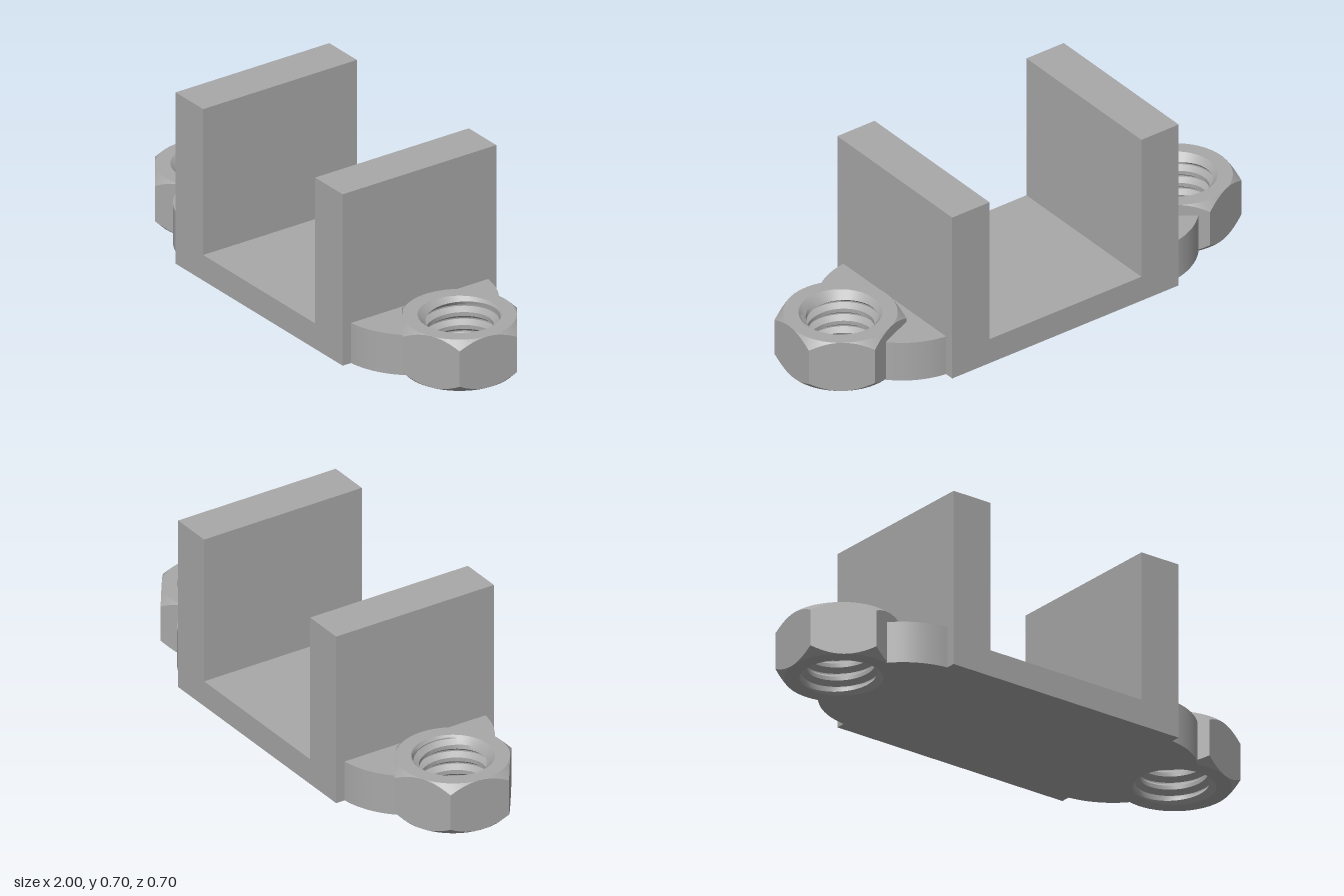
import * as THREE from 'three';
import { toCreasedNormals } from 'three/addons/utils/BufferGeometryUtils.js';

const NUT_X = 0.777, NUT_H = 0.211, APOTHEM = 0.2113, TWIST = -0.422;
const HOLE_R = 0.126, MAJOR_R = 0.147, MOUTH_R = 0.155, PITCH = 0.053;

// Skins a list of rings, each a function of the angle giving [radius, y].
function skinRings(rings, segments) {
  const positions = [];
  const point = (ring, j) => {
    const a = (j / segments) * Math.PI * 2;
    const [r, y] = ring(a);
    return [r * Math.cos(a + TWIST), y, r * Math.sin(a + TWIST)];
  };
  for (let i = 0; i < rings.length - 1; i++) {
    for (let j = 0; j < segments; j++) {
      const a = point(rings[i], j), b = point(rings[i + 1], j);
      const c = point(rings[i], j + 1), d = point(rings[i + 1], j + 1);
      positions.push(...a, ...c, ...b, ...b, ...c, ...d);
    }
  }
  const geometry = new THREE.BufferGeometry();
  geometry.setAttribute('position', new THREE.Float32BufferAttribute(positions, 3));
  return toCreasedNormals(geometry, 0.45);
}

// Hexagon with conical chamfers on both faces, open in the middle.
function nutBody() {
  const hex = (a) => APOTHEM / Math.cos((a % (Math.PI / 3)) - Math.PI / 6);
  return skinRings([
    () => [MOUTH_R, NUT_H],
    () => [APOTHEM, NUT_H],
    (a) => [hex(a), NUT_H - (hex(a) - APOTHEM)],
    (a) => [hex(a), hex(a) - APOTHEM],
    () => [APOTHEM, 0],
    () => [MOUTH_R, 0],
  ], 72);
}

// Helical thread whose ends open into countersunk mouths.
function nutThread() {
  const profile = [[0, HOLE_R], [0.3, HOLE_R], [0.6, MAJOR_R], [0.7, MAJOR_R]];
  const rings = [];
  for (let turn = -2; turn <= 5; turn++) {
    for (const [phase, radius] of profile) {
      rings.push((a) => {
        const y = THREE.MathUtils.clamp((turn + phase + a / (Math.PI * 2)) * PITCH, 0, NUT_H);
        return [Math.max(radius, MOUTH_R - Math.min(y, NUT_H - y)), y];
      });
    }
  }
  return skinRings(rings, 72);
}

// Rounded ear, hollowed where the nut sits.
function earGeometry() {
  const shape = new THREE.Shape();
  shape.absarc(0.49, 0, 0.314, -1.475, -0.708, false);
  shape.absarc(NUT_X, 0, 0.21, 4.479, 1.804, true);
  shape.absarc(0.49, 0, 0.314, 0.708, 1.475, false);
  shape.closePath();
  const geometry = new THREE.ExtrudeGeometry(shape, { depth: 0.165, bevelEnabled: false, curveSegments: 24 });
  geometry.rotateX(-Math.PI / 2);
  return toCreasedNormals(geometry, 0.5);
}

// U-shaped bracket as one solid.
function bracketGeometry() {
  const outline = [[-0.525, 0], [0.525, 0], [0.525, 0.705], [0.352, 0.705],
    [0.352, 0.105], [-0.352, 0.105], [-0.352, 0.705], [-0.525, 0.705]];
  const shape = new THREE.Shape(outline.map(([x, y]) => new THREE.Vector2(x, y)));
  const geometry = new THREE.ExtrudeGeometry(shape, { depth: 0.7, bevelEnabled: false });
  return geometry.translate(0, 0, -0.35);
}

export function createModel() {
  const model = new THREE.Group();
  model.name = 'clampBracket';
  const grey = new THREE.MeshStandardMaterial({ color: 0xa8a8a8 });
  grey.name = 'grey metal';

  const add = (parent, name, geometry) => {
    const mesh = new THREE.Mesh(geometry, grey);
    mesh.name = name;
    parent.add(mesh);
    return mesh;
  };

  add(model, 'bracket', bracketGeometry());

  const ear = earGeometry(), body = nutBody(), thread = nutThread();
  for (const side of [1, -1]) {
    const label = side > 0 ? 'left' : 'right';
    add(model, label + 'Ear', ear).rotation.y = side > 0 ? 0 : Math.PI;

    // Both nuts are turned the same way.
    const nut = new THREE.Group();
    nut.name = label + 'Nut';
    nut.position.x = side * NUT_X;
    add(nut, label + 'NutBody', body);
    add(nut, label + 'NutThread', thread);
    model.add(nut);
  }
  return model;
}
